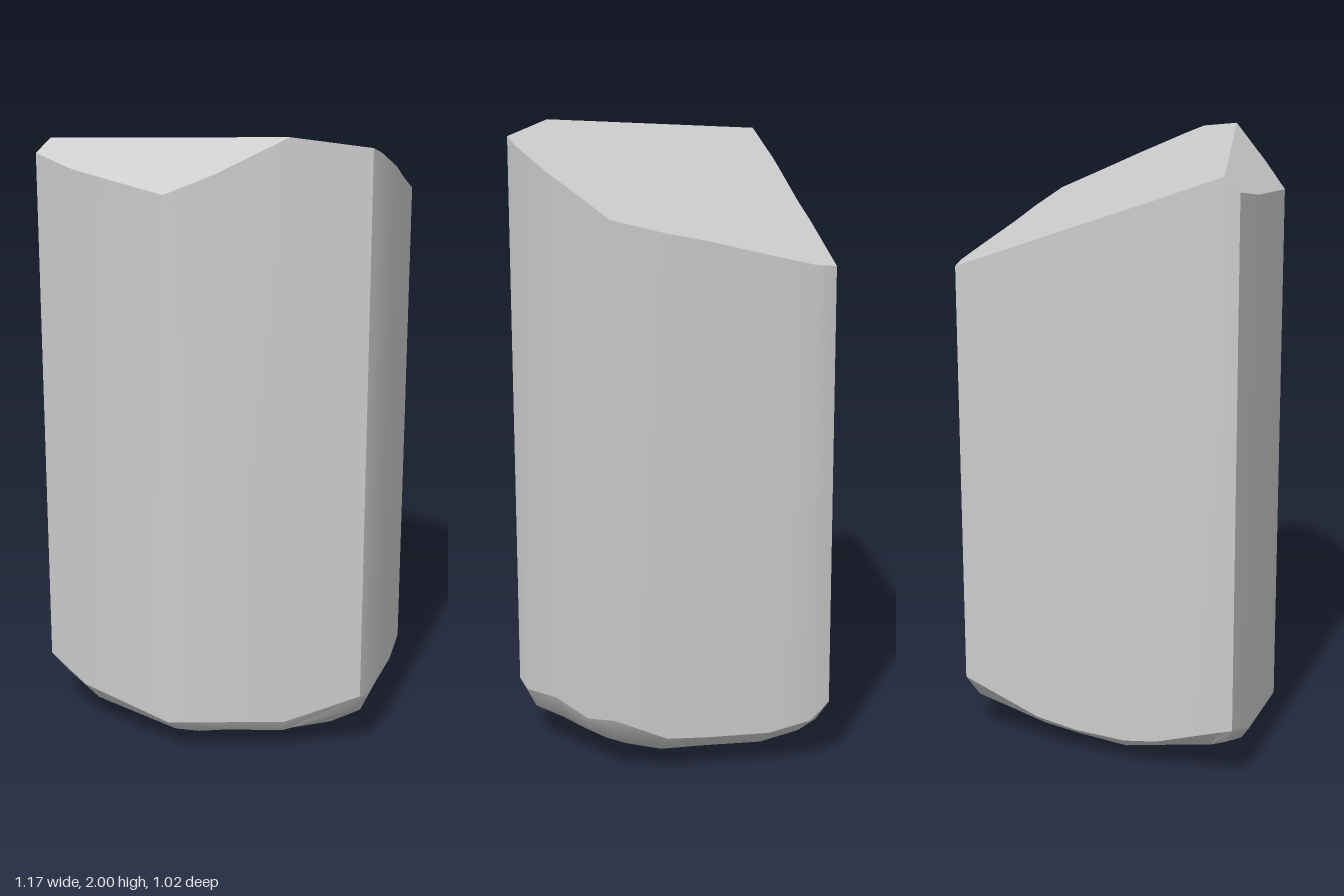
import * as THREE from 'three';
import { toCreasedNormals } from 'three/addons/utils/BufferGeometryUtils.js';

// Cross-section, counter-clockwise from above: [x, z, height of the lower rim]
const outline = [
  [-0.59, -0.04, 0.2], [-0.5, 0.1, 0.14], [-0.28, 0.38, 0.115], [-0.13, 0.425, 0.12],
  [0.08, 0.465, 0.115], [0.32, 0.51, 0.2], [0.36, 0.47, 0.18], [0.45, 0.34, 0.2],
  [0.52, 0.21, 0.17], [0.585, 0.1, 0.2], [0.52, -0.05, 0.13], [0.45, -0.17, 0.12],
  [0.37, -0.34, 0.12], [0.31, -0.46, 0.15], [0.26, -0.51, 0.2], [0.02, -0.38, 0.11],
  [-0.1, -0.31, 0.09], [-0.26, -0.225, 0.09], [-0.36, -0.17, 0.11], [-0.54, -0.06, 0.18],
];
const N = outline.length;
const RIDGE_FRONT = 4, RIDGE_BACK = N - 1;

// The tip is cut by two sloping planes that meet in a ridge
const tipHeight = (x, z) => Math.min(1.843 - 0.2116 * x + 0.3737 * z, 2.231 + 0.614 * x - 0.6016 * z);

const topRing = outline.map(([x, z]) => [x, tipHeight(x, z), z]);
const rimRing = outline.map(([x, z, y]) => [x, y, z]);

// Rings that shrink towards the lowest point of the rounded base
const low = [0.11, 0.14];
const baseRing = (scale, drop) => outline.map(([x, z, y], i) => [
  low[0] + (x - low[0]) * scale,
  y * drop + 0.006 * Math.sin(i * 2.4 + scale * 9) * scale,
  low[1] + (z - low[1]) * scale,
]);

function geometryFrom(triangles, crease) {
  const g = new THREE.BufferGeometry();
  g.setAttribute('position', new THREE.Float32BufferAttribute(triangles.flat(2), 3));
  g.computeVertexNormals();
  return crease ? toCreasedNormals(g, crease) : g;
}

// Outward-facing band between two rings
function band(lower, upper) {
  const t = [];
  for (let i = 0; i < N; i++) {
    const j = (i + 1) % N;
    t.push([lower[i], lower[j], upper[j]], [lower[i], upper[j], upper[i]]);
  }
  return t;
}

function fan(points) {
  const t = [];
  for (let i = 1; i < points.length - 1; i++) t.push([points[0], points[i], points[i + 1]]);
  return t;
}

export function createModel() {
  const group = new THREE.Group();
  group.name = 'crystal';
  const material = new THREE.MeshStandardMaterial({ color: 0xcccccc });
  const add = (name, geometry) => {
    const mesh = new THREE.Mesh(geometry, material);
    mesh.name = name;
    group.add(mesh);
  };

  // Prism sides, softly rounded between the sharp corners
  add('prismSides', geometryFrom(band(rimRing, topRing), 0.7));

  // Flat tip facets
  add('mainTipFacet', geometryFrom(fan(topRing.slice(RIDGE_FRONT))));
  add('smallTipFacet', geometryFrom(fan([topRing[RIDGE_BACK], ...topRing.slice(0, RIDGE_FRONT + 1)])));

  // Rough rounded base
  const rings = [rimRing, baseRing(0.93, 0.68), baseRing(0.7, 0.32), baseRing(0.4, 0.12)];
  const base = [];
  for (let k = 0; k < rings.length - 1; k++) base.push(...band(rings[k + 1], rings[k]));
  const last = rings[rings.length - 1];
  for (let i = 0; i < N; i++) base.push([[low[0], 0, low[1]], last[(i + 1) % N], last[i]]);
  add('roughBase', geometryFrom(base, 0.7));

  return group;
}
